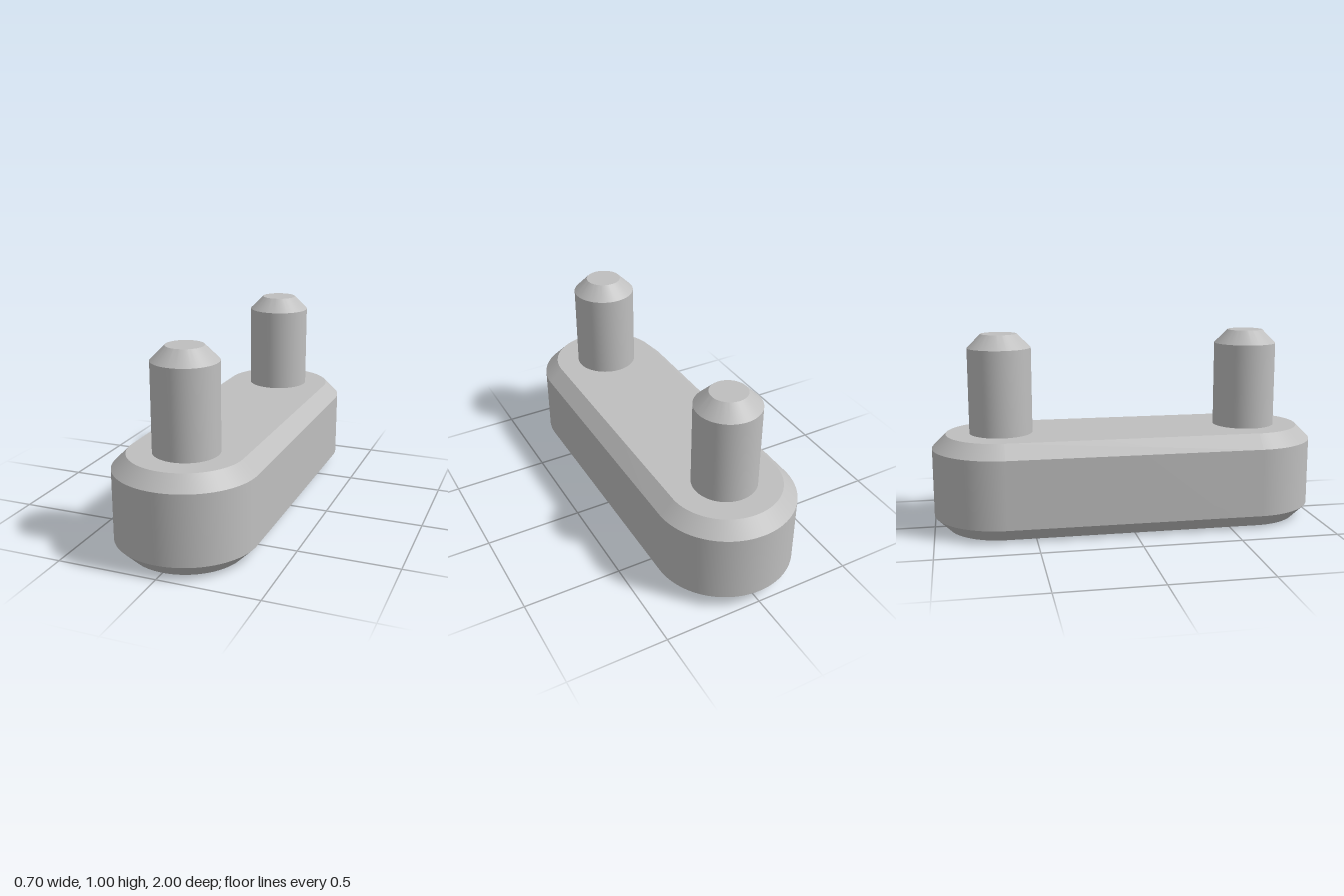
import * as THREE from 'three';
import { toCreasedNormals } from 'three/addons/utils/BufferGeometryUtils.js';

const CHAMFER = 0.07;
const CREASE = 0.5; // keeps the 45 degree chamfer edges sharp
const END_Z = 0.648; // centre of each rounded end and of each pin

export function createModel() {
  const model = new THREE.Group();
  const grey = new THREE.MeshStandardMaterial({ color: 0xbfbfbf });
  grey.name = 'plain grey';

  function addPart(name, geometry, z = 0) {
    const mesh = new THREE.Mesh(toCreasedNormals(geometry, CREASE), grey);
    mesh.name = name;
    mesh.position.z = z;
    model.add(mesh);
  }

  // Stadium-shaped base, chamfered along its top and bottom edges
  const bodyRadius = 0.352;
  const bodyHeight = 0.49;
  const outline = new THREE.Shape();
  outline.absarc(0, END_Z, bodyRadius - CHAMFER, 0, Math.PI);
  outline.absarc(0, -END_Z, bodyRadius - CHAMFER, Math.PI, 2 * Math.PI);
  const body = new THREE.ExtrudeGeometry(outline, {
    depth: bodyHeight - 2 * CHAMFER,
    curveSegments: 40,
    bevelSize: CHAMFER,
    bevelThickness: CHAMFER,
    bevelSegments: 1,
  });
  body.rotateX(-Math.PI / 2).translate(0, CHAMFER, 0);
  addPart('base', body);

  // Two round pins with chamfered tips
  const pinRadius = 0.161;
  const pinTop = 0.996;
  const profile = [
    [pinRadius, bodyHeight],
    [pinRadius, pinTop - CHAMFER],
    [pinRadius - CHAMFER, pinTop],
    [0, pinTop],
  ].map(([r, y]) => new THREE.Vector2(r, y));
  addPart('frontPin', new THREE.LatheGeometry(profile, 64), END_Z);
  addPart('backPin', new THREE.LatheGeometry(profile, 64), -END_Z);

  return model;
}
